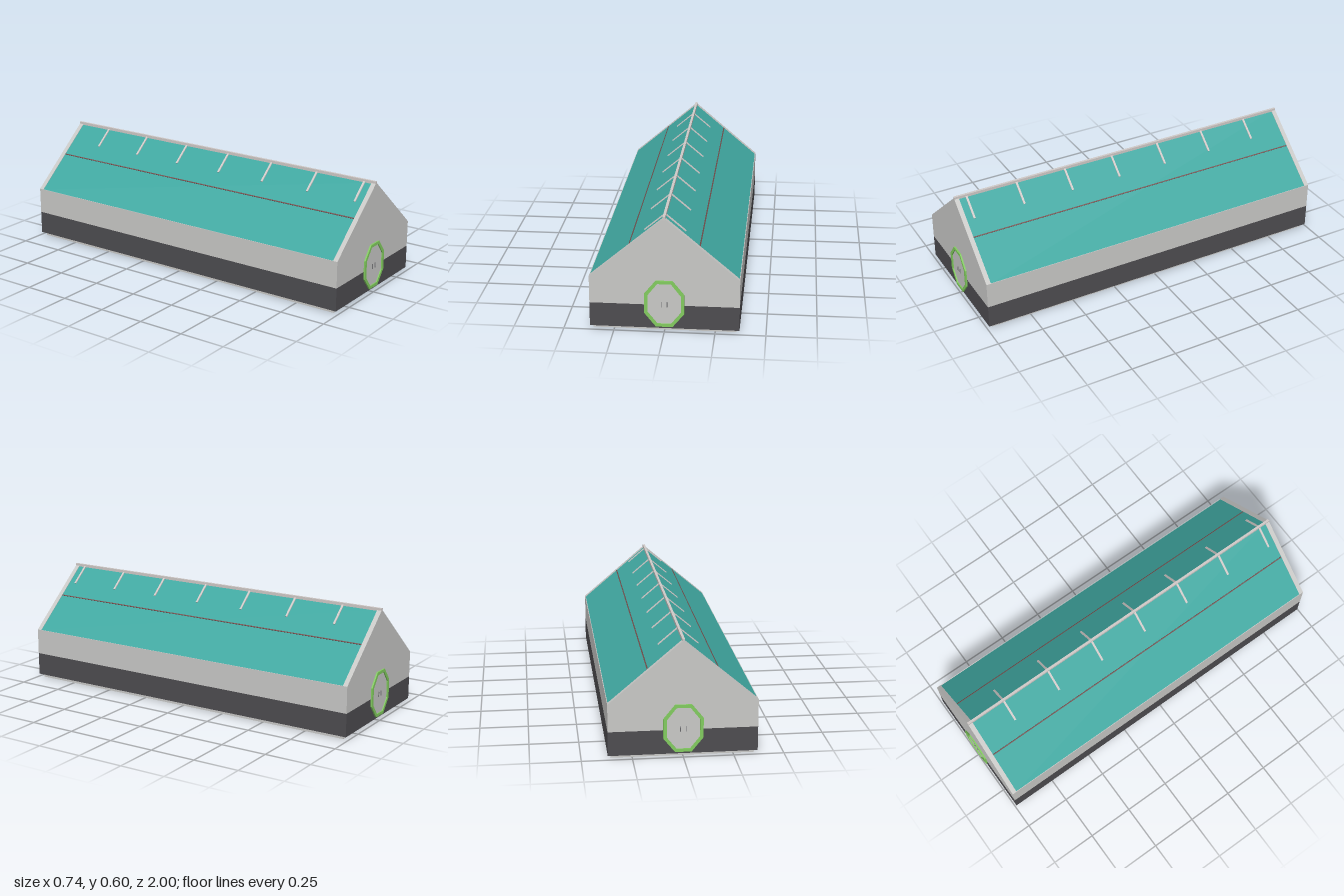
import * as THREE from 'three';

const mat = (name, color) => {
  const m = new THREE.MeshStandardMaterial({ color });
  m.name = name;
  return m;
};

export function createModel() {
  const group = new THREE.Group();
  const wall = mat('light grey wall', 0xc8c8c6);
  const dark = mat('dark grey band', 0x4d4c50);
  const teal = mat('teal roof', 0x40a8a1);
  const trim = mat('pale trim', 0xcfc9c7);
  const green = mat('green frame', 0x82cc5f);
  const seam = mat('roof seam', 0x74504e);
  const metal = mat('handle grey', 0x77777a);

  const W = 0.37, EAVE = 0.283, APEX = 0.597, END = 0.992, CAP = 0.025;
  const slope = Math.atan2(APEX - EAVE, W);

  const add = (name, geo, material, x = 0, y = 0, z = 0, parent = group) => {
    const m = new THREE.Mesh(geo, material);
    m.name = name;
    m.position.set(x, y, z);
    parent.add(m);
    return m;
  };
  const box = (name, w, h, d, material, x, y, z, parent) =>
    add(name, new THREE.BoxGeometry(w, h, d), material, x, y, z, parent);
  const polygon = (pts) => new THREE.Shape(pts.map(([x, y]) => new THREE.Vector2(x, y)));
  const extrude = (shape, depth) =>
    new THREE.ExtrudeGeometry(shape, { depth, bevelEnabled: false });

  // Plinth and the two wall bands
  box('plinth', 0.71, 0.02, 1.94, wall, 0, 0.01, 0);
  box('lowerWall', W * 2, 0.124, END * 2, dark, 0, 0.08, 0);
  box('upperWall', W * 2, EAVE - 0.142, END * 2, wall, 0, (EAVE + 0.142) / 2, 0);

  // Roof body, set slightly below the gable caps
  const roof = polygon([[-W + 0.001, EAVE - 0.002], [W - 0.001, EAVE - 0.002], [0, APEX - 0.004]]);
  add('roof', extrude(roof, 1.95), teal, 0, 0, -0.975);

  // Gable end walls
  const gable = polygon([[-W, EAVE], [W, EAVE], [0, APEX]]);
  for (const z of [END - CAP, -END]) add('gable', extrude(gable, CAP), wall, 0, 0, z);

  // Ridge beam
  box('ridge', 0.013, 0.018, END * 2, trim, 0, 0.594, 0);

  // Ribs and a long seam on each roof slope
  for (const side of [-1, 1]) {
    const onRoof = (name, w, h, d, material, x, z) => {
      const y = APEX - 0.003 - x * Math.tan(slope);
      box(name, w, h, d, material, side * x, y, z).rotation.z = -side * slope;
    };
    for (let i = 0; i < 7; i++) {
      onRoof('roofRib', 0.1 / Math.cos(slope), 0.008, 0.011, trim, 0.05, 0.925 - i * 0.2825);
    }
    onRoof('roofSeam', 0.006, 0.004, 1.93, seam, 0.172, 0);
  }

  // Octagonal doors at both ends: raised frame, panel and two handles
  const octagon = (a, b, top, hi, lo, bottom) => [
    [-a, bottom], [a, bottom], [b, lo], [b, hi], [a, top], [-a, top], [-b, hi], [-b, lo],
  ];
  const inner = octagon(0.034, 0.082, 0.256, 0.194, 0.104, 0.044);
  const frame = polygon(octagon(0.041, 0.099, 0.272, 0.2, 0.1, 0.028));
  frame.holes.push(polygon(inner));
  for (const end of [0, 1]) {
    const door = new THREE.Group();
    door.name = end ? 'backDoor' : 'frontDoor';
    door.rotation.y = end * Math.PI;
    add('doorFrame', extrude(frame, 0.01), green, 0, 0, 0.99, door);
    add('doorPanel', extrude(polygon(inner), 0.004), wall, 0, 0, 0.99, door);
    for (const x of [-0.014, 0.014]) {
      box('doorHandle', 0.003, 0.028, 0.006, metal, x, 0.146, 0.995, door);
    }
    group.add(door);
  }

  return group;
}
